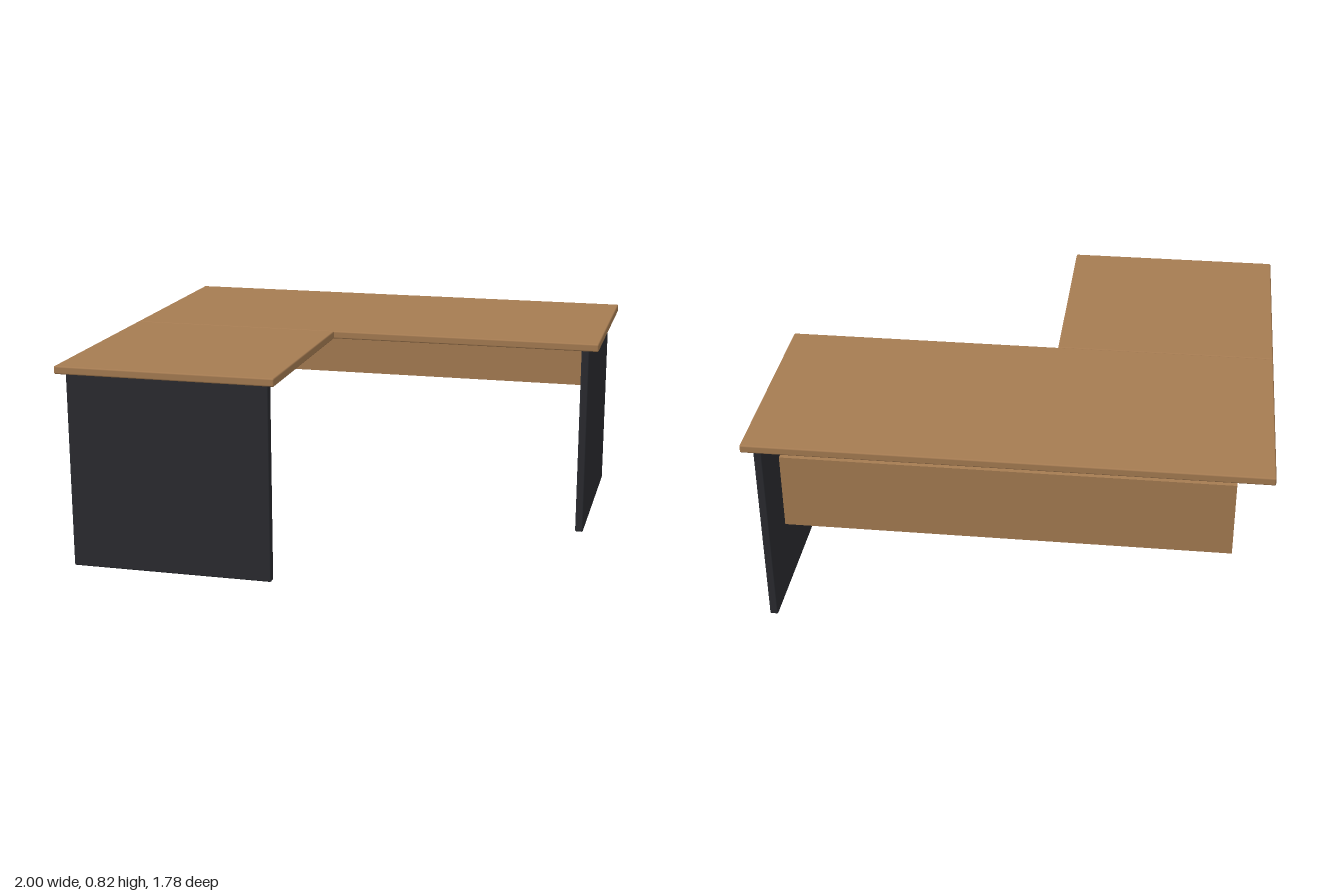
import * as THREE from 'three';
import { RoundedBoxGeometry } from 'three/addons/geometries/RoundedBoxGeometry.js';

export function createModel() {
  const desk = new THREE.Group();
  desk.name = 'cornerDesk';
  const wood = new THREE.MeshStandardMaterial({ color: 0xa67c52 });
  const dark = new THREE.MeshStandardMaterial({ color: 0x2a2b30 });

  // Board spanning [min, max] on each axis, edges eased by a small radius
  function board(name, material, [x0, x1], [y0, y1], [z0, z1], radius = 0.006) {
    const size = [x1 - x0, y1 - y0, z1 - z0];
    const geometry = radius > 0
      ? new RoundedBoxGeometry(...size, 2, radius)
      : new THREE.BoxGeometry(...size);
    const mesh = new THREE.Mesh(geometry, material);
    mesh.name = name;
    mesh.position.set((x0 + x1) / 2, (y0 + y1) / 2, (z0 + z1) / 2);
    desk.add(mesh);
  }

  // Worktops: long main top at the back, return top coming forward
  const topY = [0.79, 0.822];
  board('mainTop', wood, [-1, 1], topY, [-0.888, 0]);
  board('returnTop', wood, [-1, -0.115], topY, [0, 0.888]);

  // Panel legs, one under the free end of each top
  const legY = [0, 0.79];
  board('sideLeg', dark, [0.927, 0.96], legY, [-0.853, -0.035]);
  board('frontLeg', dark, [-0.967, -0.148], legY, [0.82, 0.853]);

  // Square-edged modesty panel hung below the back of the main top
  board('modestyPanel', wood, [-0.862, 0.862], [0.447, 0.755], [-0.85, -0.826], 0);

  return desk;
}
